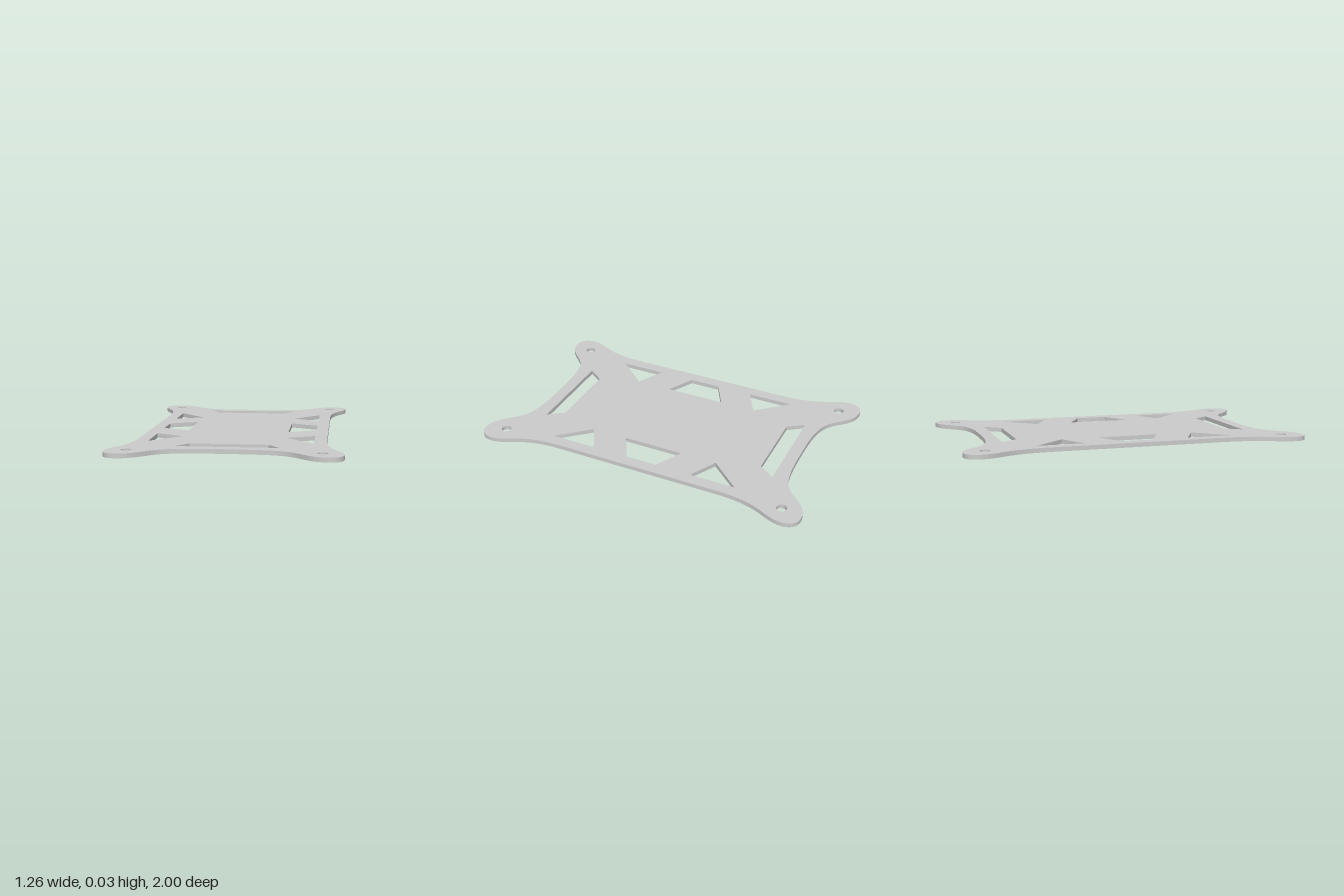
import * as THREE from 'three';
import { toCreasedNormals } from 'three/addons/utils/BufferGeometryUtils.js';

const THICKNESS = 0.025;
const v = (x, y) => new THREE.Vector2(x, y);
const mirror = (pts, sx, sy) => pts.map((p) => v(p.x * sx, p.y * sy));

// One quarter of the outline, from the middle of the long side round the corner lug to the short side
function quarterOutline() {
  const curves = [
    [0.53, 0.5, 0.53, 0.62, 0.55, 0.71, 0.59, 0.79],
    [0.59, 0.79, 0.61, 0.83, 0.63, 0.87, 0.63, 0.915],
    [0.63, 0.915, 0.63, 0.965, 0.6, 1, 0.55, 1],
    [0.55, 1, 0.47, 1, 0.43, 0.94, 0.38, 0.89],
    [0.38, 0.89, 0.32, 0.83, 0.24, 0.813, 0.06, 0.811],
  ];
  const pts = [];
  for (const [a, b, c, d, e, f, g, h] of curves) {
    const curve = new THREE.CubicBezierCurve(v(a, b), v(c, d), v(e, f), v(g, h));
    pts.push(...curve.getPoints(14).slice(pts.length ? 1 : 0));
  }
  return pts;
}

export function createModel() {
  const group = new THREE.Group();
  group.name = 'mountingPlate';

  // Outer contour, mirrored into all four quarters
  const q = quarterOutline();
  const shape = new THREE.Shape([
    ...q,
    ...mirror(q, -1, 1).reverse(),
    ...mirror(q, -1, -1),
    ...mirror(q, 1, -1).reverse(),
  ]);
  const cut = (pts) => shape.holes.push(new THREE.Path(pts));

  // Cutouts: end slots, side windows, triangles and screw holes
  const slot = [v(-0.285, 0.738), v(0.285, 0.738), v(0.217, 0.643), v(-0.217, 0.643)];
  const sideWindow = [v(0.297, 0.18), v(0.46, 0.093), v(0.46, -0.093), v(0.297, -0.18)];
  const triangle = [v(0.46, 0.58), v(0.46, 0.31), v(0.297, 0.397)];
  for (const s of [1, -1]) {
    cut(mirror(slot, 1, s));
    cut(mirror(sideWindow, s, 1));
    for (const t of [1, -1]) {
      cut(mirror(triangle, s, t));
      const screwHole = new THREE.Path();
      screwHole.absarc(0.517 * s, 0.877 * t, 0.029, 0, Math.PI * 2, true);
      shape.holes.push(screwHole);
    }
  }

  // Flat plate lying on the ground
  const extruded = new THREE.ExtrudeGeometry(shape, {
    depth: THICKNESS, bevelEnabled: false, curveSegments: 16,
  });
  extruded.rotateX(-Math.PI / 2);
  const plate = new THREE.Mesh(
    toCreasedNormals(extruded, Math.PI / 5),
    new THREE.MeshStandardMaterial({ color: 0xcccccc }),
  );
  plate.name = 'plate';
  group.add(plate);
  return group;
}
